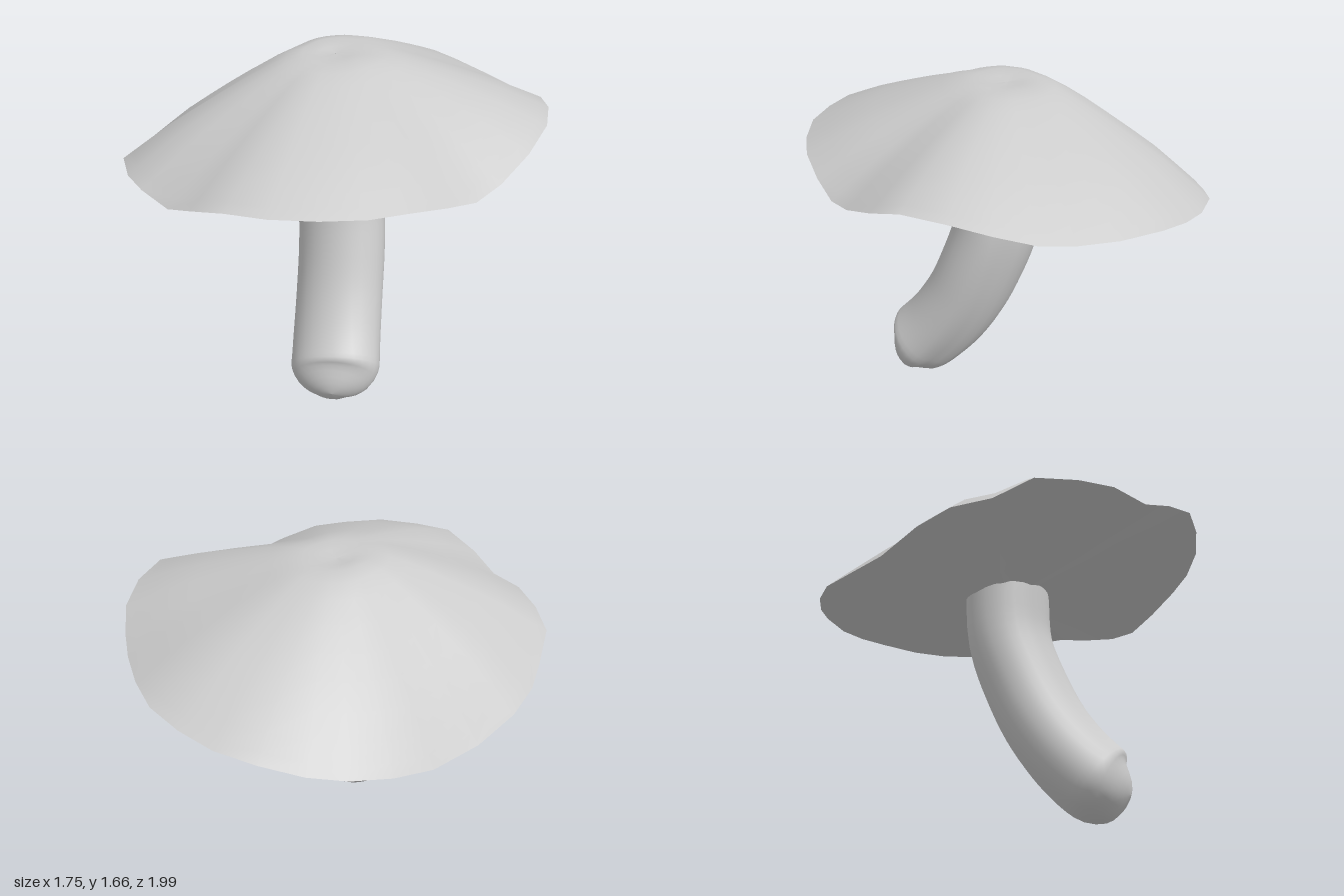
import * as THREE from 'three';

// Skin a list of closed rings of Vector3 (all the same length) with smooth normals.
function loft(rings) {
  const n = rings[0].length, index = [];
  for (let i = 0; i < rings.length - 1; i++) {
    for (let j = 0; j < n; j++) {
      const k = (j + 1) % n;
      const a = i * n + j, b = i * n + k, c = a + n, d = b + n;
      index.push(a, b, d, a, d, c);
    }
  }
  const geo = new THREE.BufferGeometry().setFromPoints(rings.flat());
  geo.setIndex(index);
  geo.computeVertexNormals();
  return geo;
}

// Wavy rim of the cap, x y z, running back, left, front, right
const RIM = [
  [-0.1, 1.31, -1], [0.1, 1.31, -0.97], [0.28, 1.32, -0.92], [0.43, 1.34, -0.86],
  [0.58, 1.39, -0.78], [0.71, 1.425, -0.65], [0.82, 1.43, -0.48], [0.86, 1.37, -0.3],
  [0.87, 1.305, -0.1], [0.865, 1.28, 0.06], [0.85, 1.32, 0.23], [0.81, 1.36, 0.42],
  [0.74, 1.37, 0.58], [0.63, 1.385, 0.74], [0.48, 1.385, 0.87], [0.33, 1.385, 0.96],
  [0.15, 1.33, 0.99], [-0.01, 1.27, 0.99], [-0.2, 1.28, 0.985], [-0.37, 1.265, 0.94],
  [-0.54, 1.25, 0.85], [-0.65, 1.175, 0.71], [-0.76, 1.16, 0.56], [-0.82, 1.12, 0.4],
  [-0.85, 1.07, 0.17], [-0.875, 1.08, -0.1], [-0.86, 1.12, -0.3], [-0.8, 1.15, -0.48],
  [-0.71, 1.18, -0.63], [-0.59, 1.23, -0.78], [-0.43, 1.25, -0.89], [-0.27, 1.28, -0.96],
].map(p => new THREE.Vector3(...p));

// Dome profile: distance from the apex, share of the rise from the rim
const DOME = [[0, 0.99], [0.08, 1], [0.16, 1.02], [0.24, 0.985], [0.32, 0.91], [0.43, 0.79],
  [0.55, 0.645], [0.66, 0.505], [0.77, 0.36], [0.88, 0.19], [0.95, 0.08], [1, 0]];

function capTop() {
  return loft(DOME.map(([r, h]) => RIM.map(p => new THREE.Vector3(
    THREE.MathUtils.lerp(-0.02, p.x, r),
    THREE.MathUtils.lerp(p.y, 1.67, h),
    p.z * r))));
}

// Shallow fan running from the rim to the head of the stem
function capUnderside() {
  const centre = new THREE.Vector3(0, 1.2, 0);
  return loft([0, 0.33, 0.67, 1].map(t => RIM.map(p => p.clone().lerp(centre, t))));
}

// Bent stem with two lengthwise grooves and a rounded foot
function stem() {
  const path = new THREE.CatmullRomCurve3([
    [0, 1.24, 0.01], [0.02, 0.97, 0.01], [0.08, 0.72, 0.065], [0.145, 0.5, 0.145],
    [0.23, 0.31, 0.25], [0.315, 0.19, 0.35], [0.38, 0.15, 0.435],
  ].map(p => new THREE.Vector3(...p)));
  const SIDES = 28, STEPS = 30, TAPER = 0.87;
  const groove = (a, at, depth, width) => {
    const d = Math.atan2(Math.sin(a - at), Math.cos(a - at)) / width;
    return depth * Math.exp(-d * d);
  };
  const rings = [];
  for (let i = 0; i <= STEPS; i++) {
    // Steps bunch up towards the foot
    const t = 1 - Math.pow(1 - i / STEPS, 1.6);
    const c = path.getPointAt(t), tan = path.getTangentAt(t);
    const u = new THREE.Vector3(1, 0, 0).addScaledVector(tan, -tan.x).normalize();
    const v = new THREE.Vector3().crossVectors(tan, u);
    const e = Math.max(0, (t - TAPER) / (1 - TAPER));
    const size = Math.pow(Math.max(0, 1 - e * e), 0.6);
    rings.push(Array.from({ length: SIDES }, (_, j) => {
      const a = j / SIDES * Math.PI * 2;
      const r = size * (1 - groove(a, -1.2, 0.1, 0.25) - groove(a, -2.5, 0.04, 0.3));
      return c.clone()
        .addScaledVector(u, Math.cos(a) * 0.227 * r)
        .addScaledVector(v, Math.sin(a) * 0.192 * r);
    }));
  }
  return loft(rings);
}

export function createModel() {
  const model = new THREE.Group();
  model.name = 'mushroom';
  const material = new THREE.MeshStandardMaterial({ color: 0xcccccc });
  const parts = { capTop: capTop(), capUnderside: capUnderside(), stem: stem() };
  for (const [name, geometry] of Object.entries(parts)) {
    const mesh = new THREE.Mesh(geometry, material);
    mesh.name = name;
    model.add(mesh);
  }
  return model;
}
